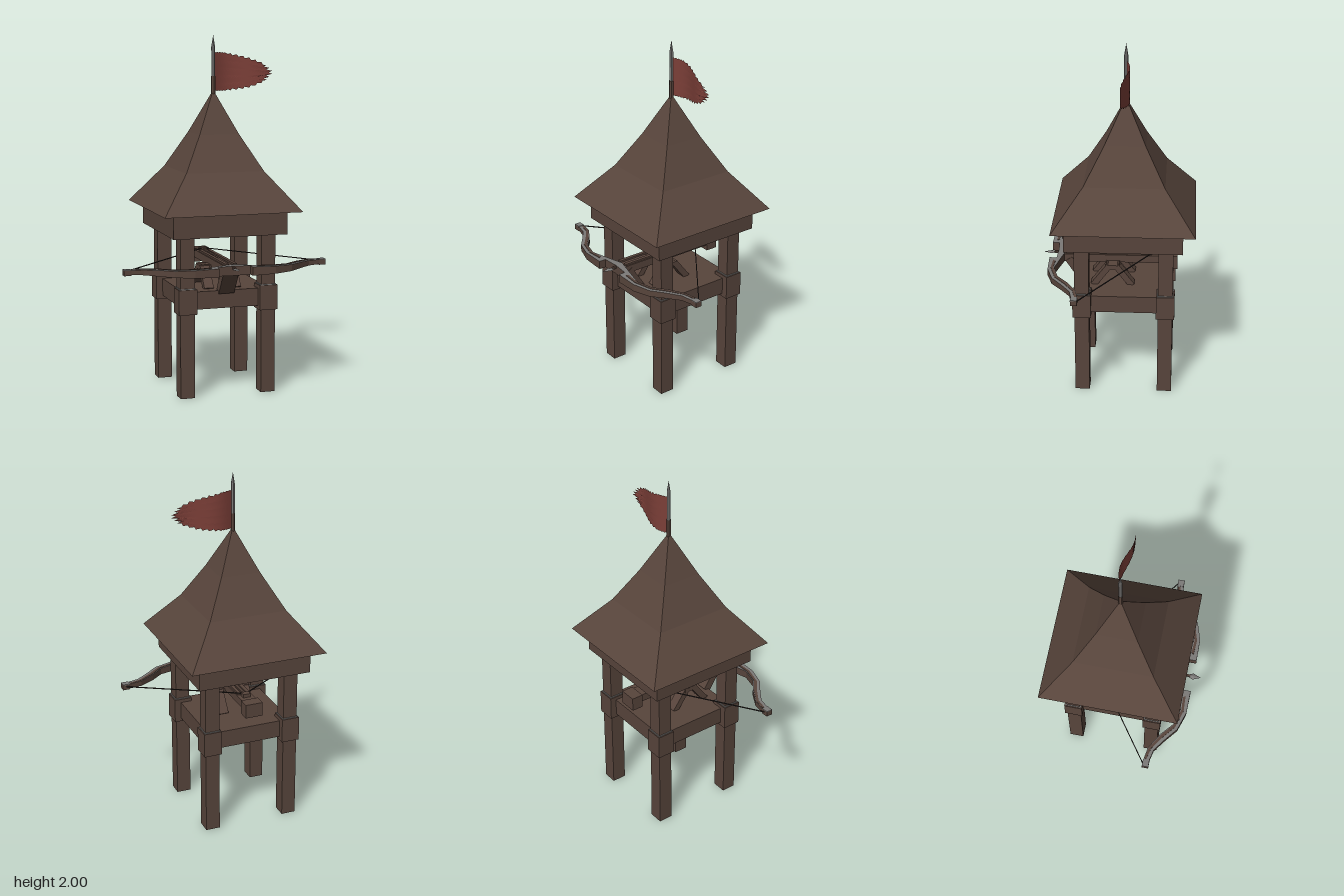
import * as THREE from 'three';

const CX = 0.005, CZ = -0.04; // tower axis

export function createModel() {
  const model = new THREE.Group();
  const mat = (name, color, double) => {
    const m = new THREE.MeshStandardMaterial({ color, flatShading: true });
    m.name = name;
    if (double) m.side = THREE.DoubleSide;
    return m;
  };
  const wood = mat('dark wood', 0x58453c);
  const metal = mat('grey metal', 0x7c7a78);
  const cloth = mat('red cloth', 0x7c3f38, true);
  const cord = mat('dark cord', 0x2b2624);

  const add = (name, geo, material, parent = model) => {
    const mesh = new THREE.Mesh(geo, material);
    mesh.name = name;
    parent.add(mesh);
    return mesh;
  };
  // Box given by its minimum and maximum on each axis
  const box = (name, x0, x1, y0, y1, z0, z1, material = wood, parent = model) => {
    const m = add(name, new THREE.BoxGeometry(x1 - x0, y1 - y0, z1 - z0), material, parent);
    m.position.set((x0 + x1) / 2, (y0 + y1) / 2, (z0 + z1) / 2);
    return m;
  };
  // Square beam between two points
  const beam = (name, a, b, w, h, material = wood, parent = model) => {
    const p = new THREE.Vector3(...a), q = new THREE.Vector3(...b);
    const m = add(name, new THREE.BoxGeometry(w, h, p.distanceTo(q)), material, parent);
    m.position.copy(p).add(q).multiplyScalar(0.5);
    m.lookAt(q);
    return m;
  };

  // Tower: posts, collars and metal corner trims
  const tower = new THREE.Group();
  tower.name = 'tower';
  tower.position.set(CX, 0, CZ);
  model.add(tower);
  for (const sx of [-1, 1]) for (const sz of [-1, 1]) {
    const x = sx * 0.235, z = sz * 0.235;
    box('post', x - 0.041, x + 0.041, 0, 0.92, z - 0.041, z + 0.041, wood, tower);
    box('collar', x - 0.052, x + 0.052, 0.475, 0.615, z - 0.052, z + 0.052, wood, tower);
    box('collarTrim', x - 0.046, x + 0.046, 0.615, 0.62, z - 0.046, z + 0.046, metal, tower);
  }
  box('platform', -0.25, 0.25, 0.495, 0.595, -0.25, 0.25, wood, tower);
  box('eaveBeam', -0.328, 0.328, 0.905, 1.036, -0.328, 0.328, wood, tower);

  // Flared four-sided roof
  const r2 = Math.SQRT2;
  const profile = [[0, 1.035], [0.395, 1.035], [0.225, 1.25], [0.115, 1.45], [0.006, 1.68], [0, 1.68]]
    .map(([r, y]) => new THREE.Vector2(r * r2, y));
  const roofGeo = new THREE.LatheGeometry(profile, 4, Math.PI / 4);
  add('roof', roofGeo, wood, tower);

  // Flagpole with a pointed tip
  const pole = add('flagpole', new THREE.CylinderGeometry(0.011, 0.011, 0.27, 6), metal, tower);
  pole.position.y = 1.8;
  const tip = add('poleTip', new THREE.ConeGeometry(0.011, 0.065, 6), metal, tower);
  tip.position.y = 1.9675;
  const sleeve = add('poleSleeve', new THREE.CylinderGeometry(0.013, 0.013, 0.1, 6), wood, tower);
  sleeve.position.y = 1.72;

  // Tattered flag: a grid with ragged edges and a gentle wave
  const cols = 36, rows = 10;
  const flagGeo = new THREE.PlaneGeometry(1, 1, cols, rows);
  const p = flagGeo.attributes.position;
  for (let i = 0; i < p.count; i++) {
    const c = i % (cols + 1), r = Math.floor(i / (cols + 1));
    const u = c / cols, v = 1 - r / rows;
    const rag = u > 0.25 ? 0.011 * ((c * 7) % 4) / 3 : 0.004 * (c % 2);
    const top = 1.905 - 0.075 * u * u - rag;
    const bottom = 1.685 + 0.06 * u * u * u + rag;
    const reach = 0.345 - 0.08 * Math.abs(v - 0.5) - (r % 2 ? 0.03 : 0);
    const x = 0.01 + u * reach;
    const wave = -0.027 * Math.sin(Math.min(x / 0.2, 1.7) * Math.PI);
    p.setXYZ(i, x, bottom + (top - bottom) * v, wave * (1 - 0.35 * u));
  }
  flagGeo.computeVertexNormals();
  add('flag', flagGeo, cloth, tower);

  // Mounted crossbow
  const bow = new THREE.Group();
  bow.name = 'crossbow';
  model.add(bow);
  box('stock', -0.042, 0.042, 0.705, 0.75, -0.31, 0.33, wood, bow);
  box('stockEnd', -0.05, 0.05, 0.675, 0.755, -0.338, -0.27, wood, bow);
  box('latch', -0.022, 0.022, 0.74, 0.77, -0.235, -0.2, wood, bow);
  for (const s of [-1, 1]) {
    box('boltRail', s * 0.025 - 0.01, s * 0.025 + 0.01, 0.75, 0.76, -0.19, 0.3, wood, bow);
    // A-frame stand
    beam('standLeg', [s * 0.08, 0.59, 0.14], [s * 0.08, 0.71, 0.05], 0.055, 0.035, wood, bow);
    beam('standLeg', [s * 0.08, 0.59, -0.08], [s * 0.08, 0.71, 0.01], 0.055, 0.035, wood, bow);
  }
  box('standHead', -0.108, 0.108, 0.69, 0.715, -0.01, 0.07, wood, bow);
  beam('frontBrace', [0, 0.59, 0.2], [0, 0.72, 0.285], 0.09, 0.045, wood, bow);

  // Bow arms: wooden sides under a metal face, with an inlaid wooden strip
  const outline = [[0, 0.345], [0.095, 0.35], [0.095, 0.39], [0.23, 0.388], [0.335, 0.355],
    [0.41, 0.295], [0.48, 0.245], [0.55, 0.23], [0.55, 0.196], [0.47, 0.21],
    [0.38, 0.265], [0.31, 0.325], [0.215, 0.352], [0.1, 0.325], [0, 0.3]];
  const inlay = [[0.13, 0.366], [0.22, 0.371], [0.325, 0.34], [0.4, 0.279], [0.475, 0.228],
    [0.54, 0.213], [0.54, 0.2], [0.47, 0.214], [0.383, 0.269], [0.313, 0.329], [0.215, 0.357], [0.14, 0.352]];
  const slab = (points, s, height, top) => {
    const shape = new THREE.Shape(points.map(([x, z]) => new THREE.Vector2(s * x, z)));
    const geo = new THREE.ExtrudeGeometry(shape, { depth: height, bevelEnabled: false });
    geo.rotateX(Math.PI / 2).translate(0, top, 0);
    // Thin the arm toward its tip
    const q = geo.attributes.position;
    for (let i = 0; i < q.count; i++) {
      const k = 1 - 0.55 * Math.abs(q.getX(i)) / 0.58;
      q.setY(i, 0.728 + (q.getY(i) - 0.728) * k);
    }
    geo.computeVertexNormals();
    return geo;
  };
  for (const s of [-1, 1]) {
    add('bowArm', slab(outline, s, 0.054, 0.755), [metal, wood], bow);
    add('bowInlay', slab(inlay, s, 0.005, 0.759), wood, bow);
    const x = s * 0.566;
    box('bowTip', x - 0.02, x + 0.02, 0.711, 0.74, 0.195, 0.232, wood, bow);
    box('bowTipPlate', x - 0.02, x + 0.02, 0.74, 0.744, 0.195, 0.232, metal, bow);
    beam('bowstring', [x, 0.73, 0.197], [0, 0.765, -0.215], 0.005, 0.005, cord, bow);
  }

  // Bolt with a flat diamond head
  beam('boltShaft', [0, 0.757, -0.2], [0, 0.742, 0.37], 0.012, 0.012, wood, bow);
  const head = add('boltHead', new THREE.OctahedronGeometry(1), metal, bow);
  head.scale.set(0.019, 0.006, 0.045);
  head.position.set(0, 0.741, 0.387);
  return model;
}
